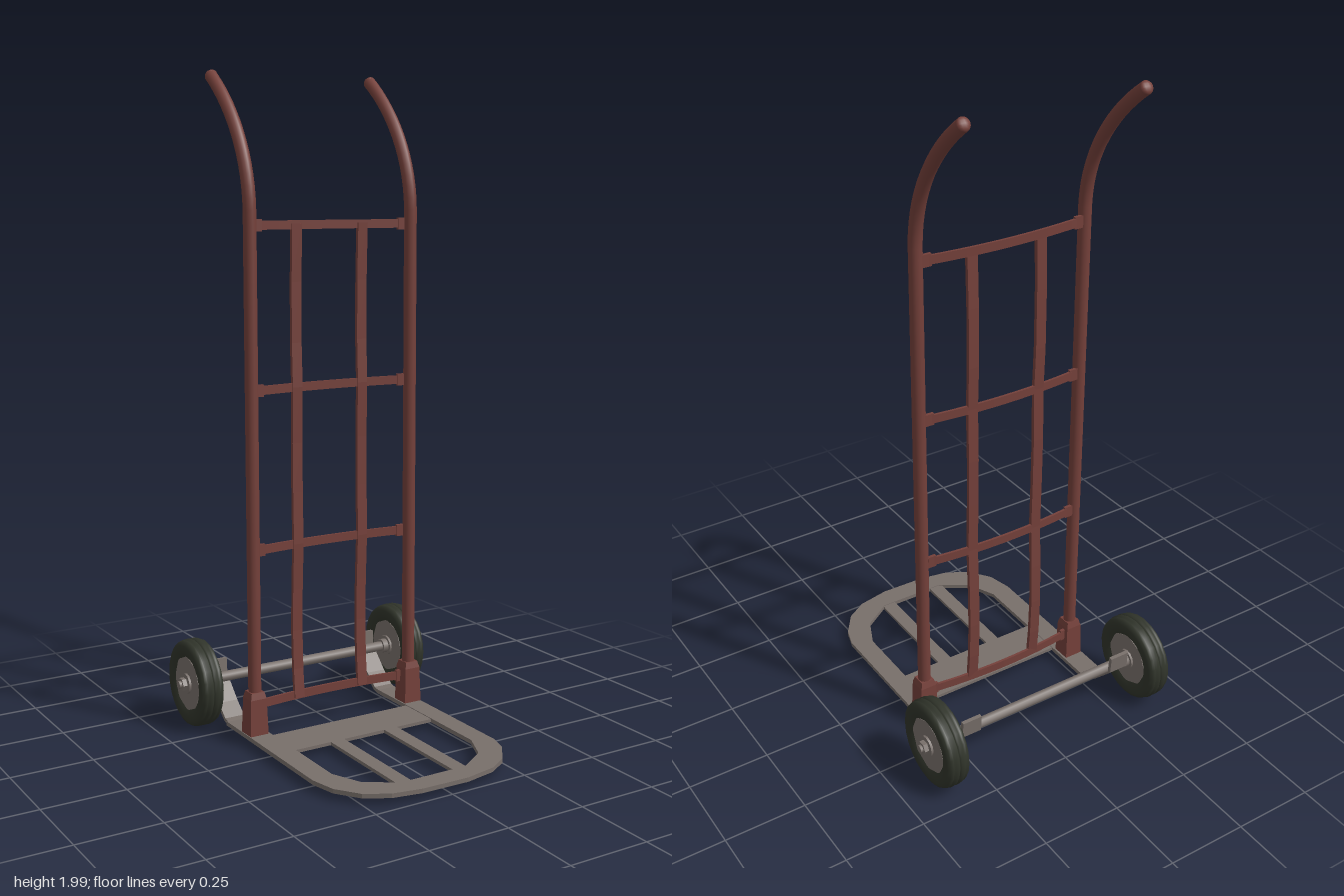
import * as THREE from 'three';

const mat = (name, color, side = THREE.FrontSide) => {
  const m = new THREE.MeshStandardMaterial({ color, side });
  m.name = name;
  return m;
};

// Faceted normals for low-sided parts
const flat = (g) => {
  const f = g.toNonIndexed();
  f.computeVertexNormals();
  return f;
};

// Band of constant thickness following a 2D centreline, extruded by width about the middle
function band(points, thickness, width) {
  const left = [], right = [];
  points.forEach(([a, b], i) => {
    const p = points[Math.max(i - 1, 0)], n = points[Math.min(i + 1, points.length - 1)];
    const dx = n[0] - p[0], dy = n[1] - p[1], l = Math.hypot(dx, dy);
    const ox = (-dy / l) * thickness / 2, oy = (dx / l) * thickness / 2;
    left.push(new THREE.Vector2(a + ox, b + oy));
    right.unshift(new THREE.Vector2(a - ox, b - oy));
  });
  const g = new THREE.ExtrudeGeometry(new THREE.Shape([...left, ...right]), { depth: width, bevelEnabled: false });
  return g.translate(0, 0, -width / 2);
}
const bandZY = (pts, t, w) => band(pts, t, w).rotateY(-Math.PI / 2); // path in z,y, width along x
const bandXZ = (pts, t, w) => band(pts, t, w).rotateX(Math.PI / 2);  // path in x,z, width along y

export function createModel() {
  const root = new THREE.Group();
  root.name = 'handTruck';
  const red = mat('rusty red paint', 0x74403a);
  const steel = mat('worn steel', 0x786f6a);
  const rubber = mat('dark rubber', 0x30342a);
  const add = (name, geo, m, x = 0, y = 0, z = 0, parent = root) => {
    const mesh = new THREE.Mesh(geo, m);
    mesh.name = name;
    mesh.position.set(x, y, z);
    parent.add(mesh);
    return mesh;
  };
  const cx = -0.011, postX = 0.275, axleY = 0.138, axleZ = -0.358;

  // Rounded U-shaped toe plate rim
  const rim = [
    [0.293, -0.25], [0.293, 0.3], [0.275, 0.36], [0.225, 0.43], [0.16, 0.47], [0.06, 0.49], [-0.09, 0.487],
    [-0.18, 0.47], [-0.25, 0.43], [-0.3, 0.36], [-0.318, 0.28], [-0.318, -0.25], [-0.25, -0.25],
    [-0.25, 0.27], [-0.21, 0.36], [-0.12, 0.42], [0.1, 0.42], [0.19, 0.36], [0.23, 0.27], [0.23, -0.25],
  ].map((p) => new THREE.Vector2(...p));
  const rimGeo = new THREE.ExtrudeGeometry(new THREE.Shape(rim), { depth: 0.013, bevelEnabled: false });
  add('toePlateRim', rimGeo.rotateX(Math.PI / 2), steel, 0, 0.035, 0);
  add('toePlateCrossPanel', new THREE.BoxGeometry(0.49, 0.01, 0.14), steel, -0.01, 0.028, -0.009);
  for (const x of [-0.106, 0.081])
    add('toePlateSlat', new THREE.BoxGeometry(0.046, 0.01, 0.38), steel, x, 0.028, 0.245);

  // Parts repeated on each side of the frame
  for (const s of [-1, 1]) {
    const x = cx + s * postX;
    // Steel strap bent up under the axle
    add('axleBracket', bandZY([[-0.24, 0.0285], [-0.265, 0.034], [-0.31, 0.07], [-0.35, 0.11], [-0.378, 0.138],
      [-0.382, 0.19]], 0.012, 0.064), steel, cx + s * 0.272);

    // Upright with the handle sweeping backwards
    const path = new THREE.CurvePath();
    path.add(new THREE.LineCurve3(new THREE.Vector3(0, 0.035, -0.12), new THREE.Vector3(0, 1.58, -0.12)));
    path.add(new THREE.CubicBezierCurve3(new THREE.Vector3(0, 1.58, -0.12), new THREE.Vector3(0, 1.75, -0.12),
      new THREE.Vector3(0, 1.89, -0.23), new THREE.Vector3(0, 1.978, -0.355)));
    add('uprightHandle', new THREE.TubeGeometry(path, 60, 0.0195, 12), red, x);
    const tip = add('handleEnd', new THREE.SphereGeometry(0.0195, 12, 8), red, x, 1.978, -0.355);
    tip.scale.set(1, 1, 0.6);
    tip.rotation.x = 0.6;

    // Tapered foot socket
    add('footSocket', flat(new THREE.CylinderGeometry(0.037, 0.042, 0.11, 4).rotateY(Math.PI / 4)), red, x, 0.09, -0.12);
    add('socketCollar', flat(new THREE.CylinderGeometry(0.03, 0.037, 0.02, 4).rotateY(Math.PI / 4)), red, x, 0.155, -0.12);
  }

  // Bowed crossbars with flared ends
  const bow = [];
  for (let i = 0; i <= 12; i++) {
    const u = i / 6 - 1;
    bow.push([u * 0.262, -0.126 - 0.019 * (1 - u * u)]);
  }
  for (const y of [0.118, 0.592, 1.068, 1.546]) {
    add('crossbar', bandXZ(bow, 0.008, 0.026), red, cx, y, 0);
    for (const s of [-1, 1])
      add('crossbarEnd', new THREE.BoxGeometry(0.028, 0.036, 0.01), red, cx + s * 0.247, y, -0.128);
  }

  // Slightly wavy vertical slats
  const wave = [[-0.138, 0.11], [-0.146, 0.2], [-0.15, 0.32], [-0.147, 0.45], [-0.14, 0.592], [-0.143, 0.75],
    [-0.144, 0.9], [-0.14, 1.068], [-0.145, 1.2], [-0.144, 1.38], [-0.138, 1.55]];
  for (const x of [-0.124, 0.102]) add('verticalSlat', bandZY(wave, 0.012, 0.033), red, x);

  // Axle
  add('axle', new THREE.CylinderGeometry(0.016, 0.016, 0.68, 12).rotateZ(Math.PI / 2), steel, 0, axleY, axleZ);

  // Wheels: ribbed tyre, faceted hub, stub and nut
  const half = [[0.075, -0.024], [0.086, -0.031], [0.1, -0.037], [0.118, -0.037], [0.129, -0.031], [0.133, -0.022],
    [0.129, -0.019], [0.135, -0.015], [0.135, -0.004], [0.13, -0.001]];
  const profile = [...half, ...half.map(([r, y]) => [r, -y]).reverse()].map((p) => new THREE.Vector2(...p));
  const disc = (r, w, n) => new THREE.CylinderGeometry(r, r, w, n).rotateZ(Math.PI / 2);
  for (const s of [-1, 1]) {
    const wheel = new THREE.Group();
    wheel.name = s > 0 ? 'leftWheel' : 'rightWheel';
    wheel.position.set(s * 0.367, axleY, axleZ);
    root.add(wheel);
    add('tyre', new THREE.LatheGeometry(profile, 24).rotateZ(Math.PI / 2), rubber, 0, 0, 0, wheel);
    add('hubDisc', flat(disc(0.087, 0.06, 8)), steel, 0, 0, 0, wheel);
    add('hubBoss', disc(0.032, 0.074, 12), steel, 0, 0, 0, wheel);
    add('axleStub', disc(0.012, 0.12, 10), steel, 0, 0, 0, wheel);
    add('axleNut', flat(disc(0.021, 0.014, 6)), steel, s * 0.045, 0, 0, wheel);
    add('innerCollar', disc(0.023, 0.02, 12), steel, -s * 0.045, 0, 0, wheel);
  }
  return root;
}
